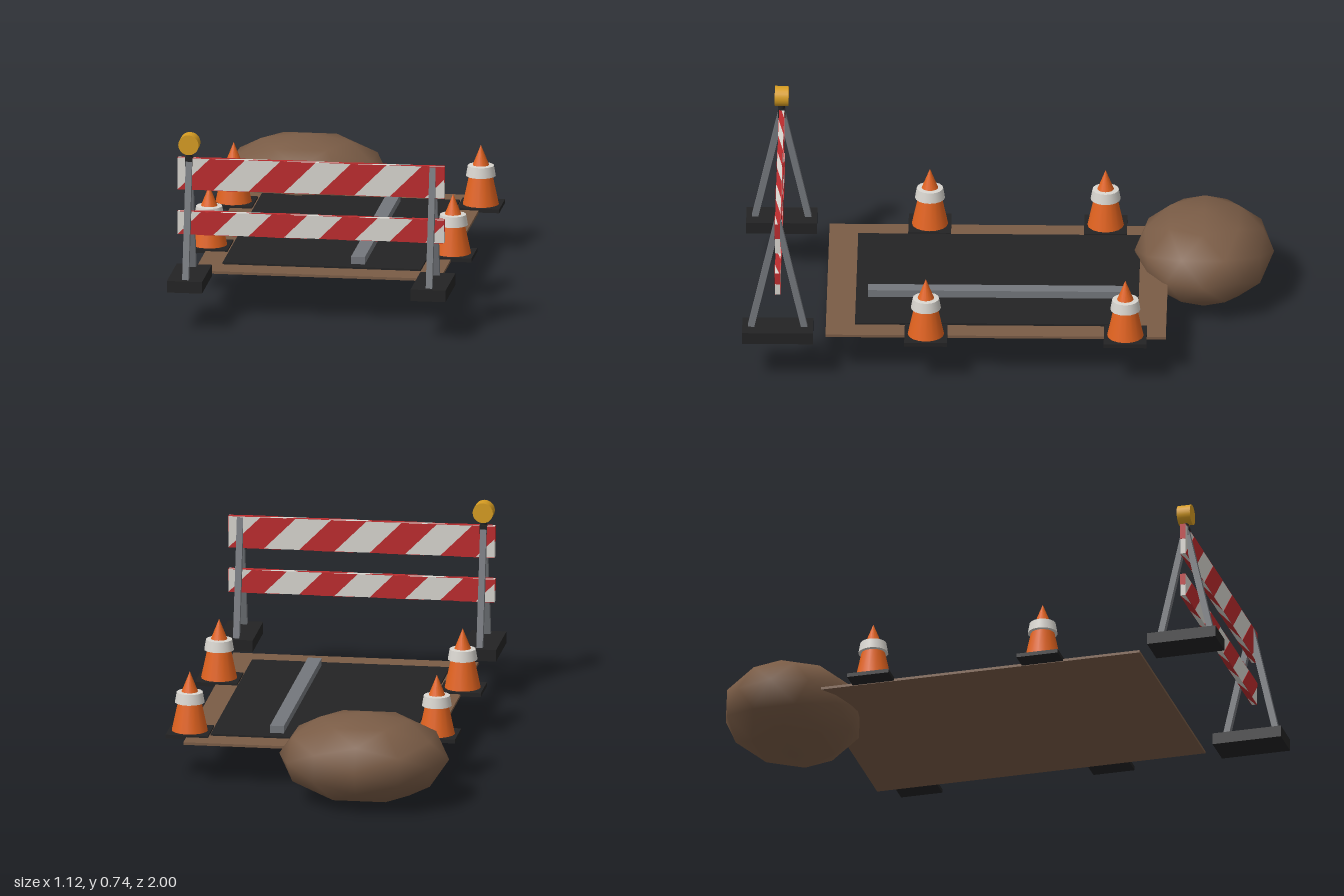
import * as THREE from 'three';

const mat = (name, color) => {
  const m = new THREE.MeshStandardMaterial({ color });
  m.name = name;
  return m;
};

export function createModel() {
  const dirt = mat('dirt brown', 0x7a5c46);
  const black = mat('asphalt black', 0x232324);
  const steel = mat('steel grey', 0x74777c);
  const white = mat('reflective white', 0xd8d5cf);
  const red = mat('warning red', 0xbd2c2e);
  const orange = mat('cone orange', 0xe0621f);
  const amber = mat('lamp amber', 0xd69c22);

  const root = new THREE.Group();
  root.name = 'roadworks';

  const add = (parent, name, geo, material, x = 0, y = 0, z = 0) => {
    const m = new THREE.Mesh(geo, material);
    m.name = name;
    m.position.set(x, y, z);
    parent.add(m);
    return m;
  };
  // Box given by its minimum and maximum on each axis
  const slab = (parent, name, material, x0, x1, y0, y1, z0, z1) =>
    add(parent, name, new THREE.BoxGeometry(x1 - x0, y1 - y0, z1 - z0), material,
      (x0 + x1) / 2, (y0 + y1) / 2, (z0 + z1) / 2);

  // Ground, asphalt and the kerb strip
  slab(root, 'dirtBase', dirt, -0.46, 0.477, 0.153, 0.163, -0.603, 0.685);
  slab(root, 'asphalt', black, -0.368, 0.389, 0.16, 0.17, -0.495, 0.575);
  slab(root, 'steelStrip', steel, 0.116, 0.169, 0.168, 0.198, -0.447, 0.53);

  // Heap of earth
  const heap = add(root, 'dirtHeap', new THREE.IcosahedronGeometry(1, 1), dirt, -0.235, 0.174, -0.737);
  heap.scale.set(0.325, 0.174, 0.264);

  // Traffic cones
  const lathe = (points) =>
    new THREE.LatheGeometry(points.map(([r, y]) => new THREE.Vector2(r, y)), 16);
  const addCone = (x, z) => {
    const cone = new THREE.Group();
    cone.name = 'trafficCone';
    cone.position.set(x, 0, z);
    slab(cone, 'coneBase', black, -0.081, 0.081, 0.155, 0.17, -0.081, 0.081);
    add(cone, 'coneBody', new THREE.CylinderGeometry(0.042, 0.069, 0.125, 16), orange, 0, 0.2325, 0);
    add(cone, 'coneBand', lathe([[0.04, 0.277], [0.057, 0.28], [0.057, 0.28], [0.05, 0.32],
      [0.05, 0.32], [0.028, 0.322]]), white);
    add(cone, 'coneTip', new THREE.ConeGeometry(0.036, 0.09, 16), orange, 0, 0.355, 0);
    root.add(cone);
  };
  [[-0.457, -0.36], [0.475, -0.45], [-0.457, 0.305], [0.475, 0.305]].forEach(([x, z]) => addCone(x, z));

  // Barrier
  const barrier = new THREE.Group();
  barrier.name = 'barrier';
  barrier.position.z = 0.866;
  root.add(barrier);

  // A-frame stands: foot and two leaning legs
  const spread = 0.105, legTop = 0.645, legBottom = 0.18;
  for (const x of [-0.454, 0.477]) {
    slab(barrier, 'foot', black, x - 0.067, x + 0.067, 0.155, 0.2, -0.134, 0.134);
    for (const s of [-1, 1]) {
      const rise = legTop - legBottom;
      const leg = add(barrier, 'leg', new THREE.BoxGeometry(0.024, Math.hypot(spread, rise), 0.024),
        steel, x, (legTop + legBottom) / 2, s * spread / 2);
      leg.rotation.x = -s * Math.atan2(spread, rise);
    }
  }

  // Slanted red stripes, clipped to a face of the given size
  const stripeShapes = (len, h, slant) => {
    const shapes = [];
    for (let a = 0; a < len; a += 0.27) {
      const b = a + 0.135;
      const pts = [[a, 0], [b, 0]];
      if (b + slant > len) pts.push([len, (len - b) * h / slant], [len, h]);
      else pts.push([b + slant, h]);
      pts.push([a + slant, h]);
      shapes.push(new THREE.Shape(pts.map(([x, y]) => new THREE.Vector2(x - len / 2, y - h / 2))));
    }
    return shapes;
  };

  // Striped boards
  const depth = 0.02, len = 1.018, midX = 0.012;
  const addBoard = (y0, y1) => {
    const h = y1 - y0;
    const board = new THREE.Group();
    board.name = 'board';
    board.position.set(midX, (y0 + y1) / 2, 0);
    barrier.add(board);
    add(board, 'plank', new THREE.BoxGeometry(len, h, depth), white);
    const faces = [
      { name: 'frontStripes', size: h, out: depth, rx: 0, ry: 0 },
      { name: 'backStripes', size: h, out: depth, rx: 0, ry: Math.PI },
      { name: 'topStripes', size: depth, out: h, rx: -Math.PI / 2, ry: 0 },
      { name: 'bottomStripes', size: depth, out: h, rx: Math.PI / 2, ry: 0 },
    ];
    for (const f of faces) {
      const geo = new THREE.ExtrudeGeometry(stripeShapes(len, f.size, h), { depth: 0.0015, bevelEnabled: false });
      geo.translate(0, 0, f.out / 2);
      add(board, f.name, geo, red).rotation.set(f.rx, f.ry, 0);
    }
    for (const s of [-1, 1])
      add(board, 'endStripe', new THREE.BoxGeometry(0.0015, h / 2, depth), red, s * (len / 2 + 0.0007), h / 4, 0);
  };
  addBoard(0.528, 0.65);
  addBoard(0.353, 0.442);

  // Warning lamp on the right-hand stand
  add(barrier, 'lampSocket', new THREE.BoxGeometry(0.028, 0.035, 0.028), black, -0.454, 0.637, 0);
  add(barrier, 'lampNeck', new THREE.CylinderGeometry(0.012, 0.012, 0.03, 10), black, -0.454, 0.665, 0);
  const lamp = add(barrier, 'lamp', new THREE.CylinderGeometry(0.039, 0.039, 0.052, 20), amber, -0.454, 0.705, 0);
  lamp.rotation.x = Math.PI / 2;

  return root;
}
